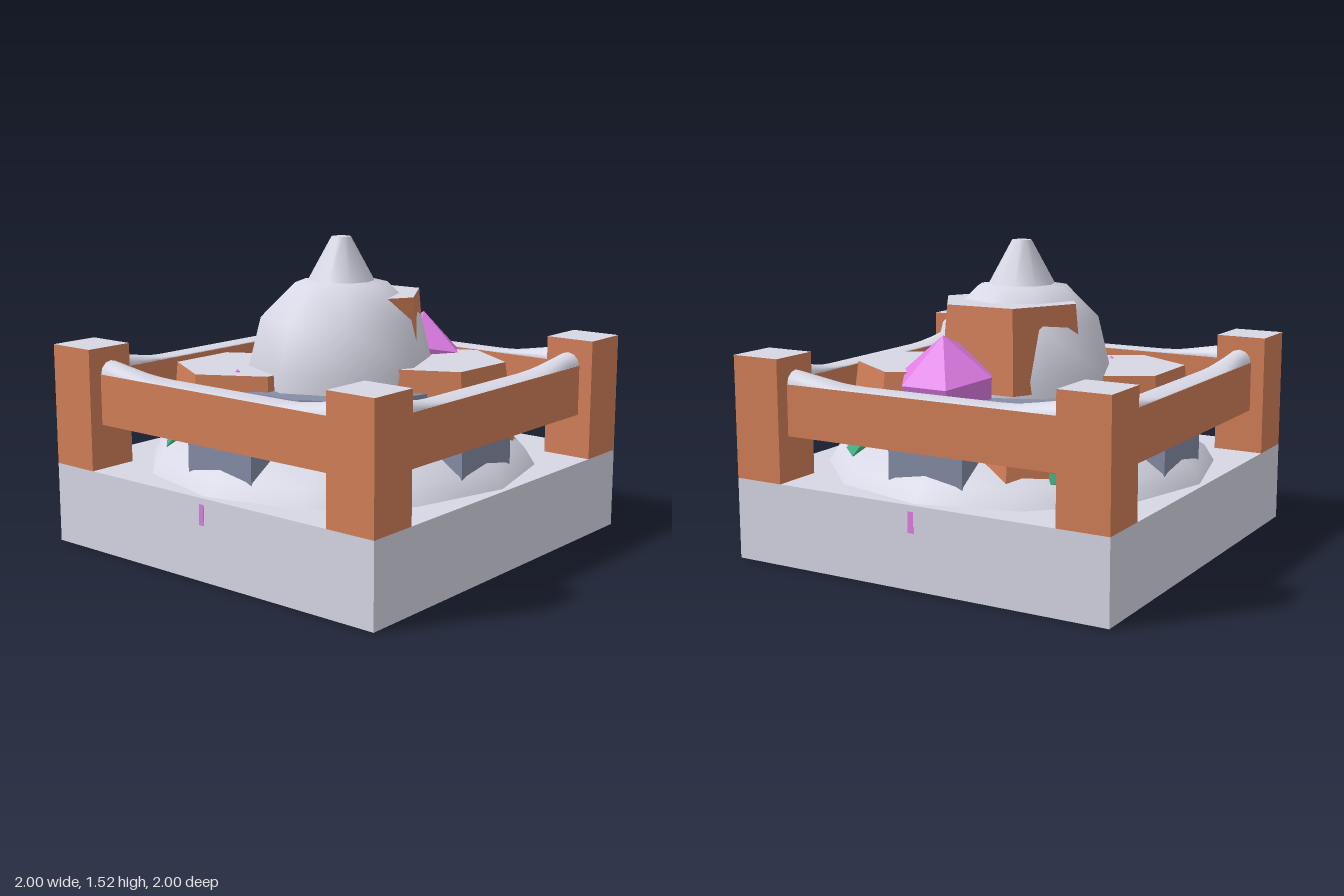
import * as THREE from 'three';

const mat = (name, color) => {
  const m = new THREE.MeshStandardMaterial({ color });
  m.name = name;
  return m;
};

export function createModel() {
  const group = new THREE.Group();
  const stone = mat('pale stone', 0xd8d8e6);
  const wood = mat('brown clay', 0xd27f58);
  const slate = mat('slate', 0x858da6);
  const green = mat('green', 0x42aa80);
  const purple = mat('purple', 0xe27ee8);
  const teal = mat('pale teal', 0xa4cfd8);

  const add = (name, geo, material, x = 0, y = 0, z = 0, parent = group) => {
    const m = new THREE.Mesh(geo, material);
    m.name = name;
    m.position.set(x, y, z);
    parent.add(m);
    return m;
  };
  const box = (w, h, d) => new THREE.BoxGeometry(w, h, d);
  const lathe = (pts, sides) =>
    new THREE.LatheGeometry(pts.map(([r, y]) => new THREE.Vector2(r, y)), sides);
  const capped = [wood, wood, stone, wood, wood, wood]; // pale top face

  // Base slab and the twelve-sided mound on it
  add('base', box(2, 0.4, 2), stone, 0, 0.2, 0);
  add('mound', lathe([[0.998, 0.36], [0.924, 0.48], [0.707, 0.62], [0, 0.66]], 12), stone);
  for (const s of [-1, 1]) add('sideMarker', box(0.008, 0.1, 0.03), purple, s * 0.998, 0.32, 0);

  // Inlays under the slab: material, x, z, radius
  const inlays = [
    [slate, 0.08, 0.1, 0.3],
    [slate, -0.33, -0.2, 0.17],
    [green, -0.06, -0.46, 0.2],
    [green, -0.39, 0.39, 0.15],
    [green, -0.6, -0.2, 0.09],
    [teal, 0.5, 0.27, 0.14],
    [teal, -0.12, 0.5, 0.12],
    [teal, 0.5, -0.45, 0.12],
    [wood, -0.5, -0.42, 0.08],
    [wood, 0.5, -0.02, 0.07],
  ];
  for (const [m, x, z, r] of inlays)
    add('undersideInlay', new THREE.CylinderGeometry(r, r, 0.004, 6), m, x, 0.001, z);

  // Corner posts with pale tops
  for (const sx of [-1, 1])
    for (const sz of [-1, 1])
      add('cornerPost', box(0.258, 0.6, 0.258), capped, sx * 0.871, 0.7, sz * 0.871);

  // Rails, each with a rounded cap that rises toward the posts
  const capGeo = new THREE.CylinderGeometry(1, 1, 1.48, 12, 16, true).rotateZ(Math.PI / 2);
  const p = capGeo.attributes.position;
  for (let i = 0; i < p.count; i++) {
    const t = Math.max(0, (Math.abs(p.getX(i)) - 0.42) / 0.32);
    p.setY(i, p.getY(i) * (0.006 + 0.056 * t));
    p.setZ(i, p.getZ(i) * 0.064);
  }
  capGeo.computeVertexNormals();
  for (let i = 0; i < 4; i++) {
    const side = new THREE.Group();
    side.name = 'railSide';
    side.rotation.y = (i * Math.PI) / 2;
    group.add(side);
    add('rail', box(1.5, 0.25, 0.13), capped, 0, 0.745, 0.865, side);
    add('railCap', capGeo, stone, 0, 0.87, 0.865, side);

    // Slate arm reaching out from the centre
    add('slateArm', box(0.4, 0.3, 0.5), slate, 0, 0.57, 0.63, side);

    // Green slab leaning inward on the diagonal
    const diagonal = new THREE.Group();
    diagonal.name = 'diagonal';
    diagonal.rotation.y = Math.PI / 4;
    side.add(diagonal);
    const slab = add('greenSlab', box(0.2, 0.4, 0.05), green, 0, 0.635, 0.73, diagonal);
    slab.rotation.x = -0.68;
  }

  // Slate drum under the dome
  add('slateDrum', flat(new THREE.CylinderGeometry(0.56, 0.63, 0.4, 10)), slate, 0, 0.6, 0);

  // Dome and spire
  add('dome', lathe([[0.46, 0.7], [0.46, 0.88], [0.4, 1.12], [0.23, 1.29], [0, 1.32]], 8), stone);
  add('spire', new THREE.CylinderGeometry(0.048, 0.165, 0.215, 10), stone, 0, 1.408, 0);

  // Six-sided tapered blocks: x, z, bottom, top, lower radius, turn in degrees
  const blocks = [
    [-0.3, -0.37, 0.4, 0.875, 0.4, 0],
    [0.42, -0.31, 0.4, 0.7, 0.39, 10],
    [0.25, 0.39, 0.4, 0.91, 0.42, -3],
    [0.11, 0, 0.82, 1.23, 0.395, 32],
  ];
  for (const [x, z, y0, y1, r, turn] of blocks) {
    const g = new THREE.CylinderGeometry(0.355, r, y1 - y0, 6);
    g.rotateY(((turn + 30) * Math.PI) / 180);
    add('hexBlock', flat(g), [wood, stone, wood], x, (y0 + y1) / 2, z);
  }

  // Small pale boulders beside the left arm
  for (const [x, z, y] of [[-0.63, -0.04, 0.71], [-0.62, 0.3, 0.62]]) {
    const b = add('boulder', new THREE.DodecahedronGeometry(0.11), stone, x, y, z);
    b.scale.set(0.8, 0.6, 1.1);
  }

  // Purple crystals: x, z, waist height, height above and below it, radius, lean
  const crystals = [
    [0.48, 0.13, 0.91, 0.19, 0.18, 0.245, -0.2],
    [-0.28, 0.5, 0.78, 0.08, 0.2, 0.14, 0],
    [-0.48, -0.26, 0.86, 0.03, 0.05, 0.03, 0],
  ];
  for (const [x, z, y, up, down, r, lean] of crystals) {
    const pts = [[0, -down], [r * 0.9, -down * 0.9], [r, 0], [0, up]];
    add('crystal', flat(lathe(pts, 6)), purple, x, y, z).rotation.z = lean;
  }

  return group;
}

// Flat-shaded copy that keeps the material groups
function flat(geo) {
  const g = geo.toNonIndexed();
  g.clearGroups();
  geo.groups.forEach((s) => g.addGroup(s.start, s.count, s.materialIndex));
  g.computeVertexNormals();
  return g;
}
